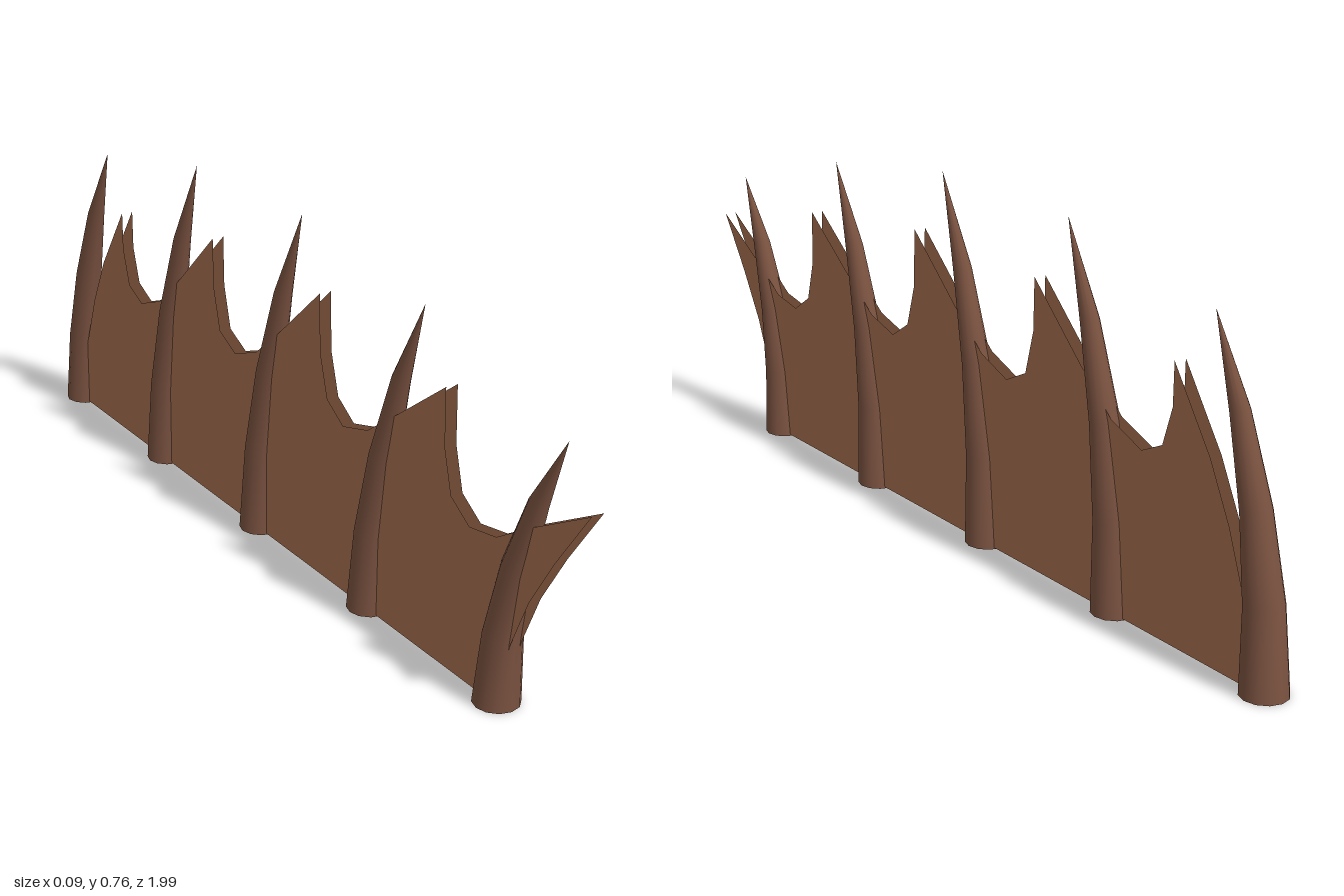
import * as THREE from 'three';

const spikeMat = new THREE.MeshStandardMaterial({ color: 0x7a5240 });
spikeMat.name = 'dark horn brown';
const finMat = new THREE.MeshStandardMaterial({ color: 0xa56f50, side: THREE.DoubleSide });
finMat.name = 'membrane brown';

// Spikes: [base z, height], front to back
const SPIKES = [[0.748, 0.594], [0.324, 0.705], [-0.1, 0.76], [-0.525, 0.75], [-0.95, 0.67]];
const RADII = [0.047, 0.039, 0.03, 0.019, 0];
const LEAN = 0.165;

// Tapered horn that curves forward, bent from a cylinder
function spikeGeometry(height) {
  const geo = new THREE.CylinderGeometry(1, 1, 1, 12, 4);
  const pos = geo.attributes.position;
  for (let i = 0; i < pos.count; i++) {
    const t = pos.getY(i) + 0.5;
    const r = RADII[Math.round(t * 4)];
    const dz = pos.getZ(i) * r;
    const slope = (2 * LEAN * t) / height;
    pos.setXYZ(i, pos.getX(i) * r, t * height - dz * slope, LEAN * t * t + dz);
  }
  geo.computeVertexNormals();
  // Smooth the seam along the front centreline
  const n = geo.attributes.normal;
  const v = new THREE.Vector3();
  for (let i = 0; i < pos.count; i++) {
    if (Math.abs(pos.getX(i)) > 1e-6 || pos.getY(i) > height * 0.98) continue;
    v.fromBufferAttribute(n, i).setX(0).normalize();
    n.setXYZ(i, v.x, v.y, v.z);
  }
  return geo;
}

// Scalloped outline of the membrane as [z, y]
const FIN = [
  [0.755, 0.003], [0.797, 0.145], [0.845, 0.257], [0.91, 0.364], [0.997, 0.49],
  [0.845, 0.405], [0.743, 0.342], [0.663, 0.328], [0.604, 0.366], [0.58, 0.455], [0.578, 0.575],
  [0.428, 0.465], [0.326, 0.393], [0.24, 0.369], [0.182, 0.406], [0.155, 0.497], [0.152, 0.622],
  [-0.005, 0.485], [-0.096, 0.412], [-0.182, 0.38], [-0.246, 0.41], [-0.271, 0.503], [-0.273, 0.613],
  [-0.422, 0.475], [-0.519, 0.392], [-0.61, 0.358], [-0.668, 0.385], [-0.694, 0.465], [-0.695, 0.553],
  [-0.8, 0.4], [-0.856, 0.289], [-0.904, 0.16], [-0.95, 0.003],
];

export function createModel() {
  const model = new THREE.Group();
  model.name = 'spinedFin';

  SPIKES.forEach(([z, height], i) => {
    const spike = new THREE.Mesh(spikeGeometry(height), spikeMat);
    spike.name = `spike${i + 1}`;
    spike.position.z = z;
    model.add(spike);
  });

  // Two thin parallel sheets stretched between the spikes
  const finGeo = new THREE.ShapeGeometry(new THREE.Shape(FIN.map(([z, y]) => new THREE.Vector2(z, y))));
  finGeo.rotateY(-Math.PI / 2);
  for (const side of [1, -1]) {
    const fin = new THREE.Mesh(finGeo, finMat);
    fin.name = side > 0 ? 'leftMembrane' : 'rightMembrane';
    fin.position.x = side * 0.013;
    model.add(fin);
  }
  return model;
}
